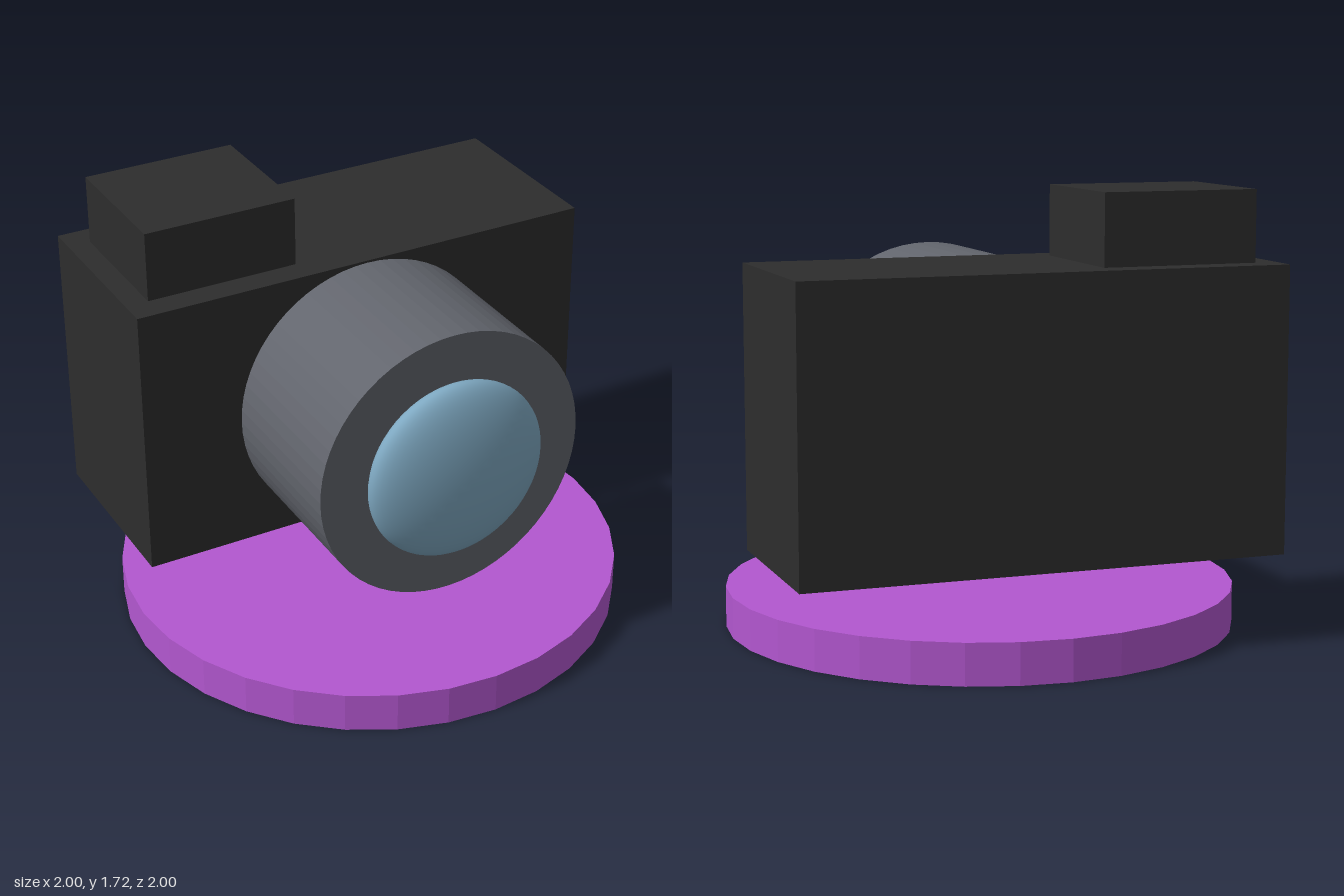
import * as THREE from 'three';

const material = (name, color, flatShading = true) => {
  const m = new THREE.MeshStandardMaterial({ color, flatShading });
  m.name = name;
  return m;
};

export function createModel() {
  const black = material('body black', 0x2d2d2d);
  const grey = material('barrel grey', 0x62656d);
  const blue = material('lens blue', 0x7ea8c1, false);
  const purple = material('base purple', 0xb357d0);

  const group = new THREE.Group();
  group.name = 'camera';
  const add = (name, geometry, mat, x, y, z) => {
    const mesh = new THREE.Mesh(geometry, mat);
    mesh.name = name;
    mesh.position.set(x, y, z);
    group.add(mesh);
    return mesh;
  };

  // Round stand, with the camera floating above it
  add('base', new THREE.CylinderGeometry(1, 1, 0.16, 32), purple, 0, 0.08, 0);

  // Camera body and the viewfinder block on its right shoulder
  add('body', new THREE.BoxGeometry(1.89, 1.097, 0.76), black, 0, 0.897, -0.398);
  add('viewfinder', new THREE.BoxGeometry(0.61, 0.275, 0.548), black, -0.55, 1.5825, -0.398);

  // Lens barrel, just clear of the body, pointing forward
  const barrel = new THREE.CylinderGeometry(0.548, 0.548, 0.643, 64).rotateX(Math.PI / 2);
  add('lensBarrel', barrel, grey, 0, 0.897, 0.317);

  // Domed glass: a flattened sphere set into the barrel's front
  const glass = new THREE.SphereGeometry(0.365, 48, 32).scale(1, 1, 0.3);
  add('lensGlass', glass, blue, 0, 0.897, 0.669);

  return group;
}
